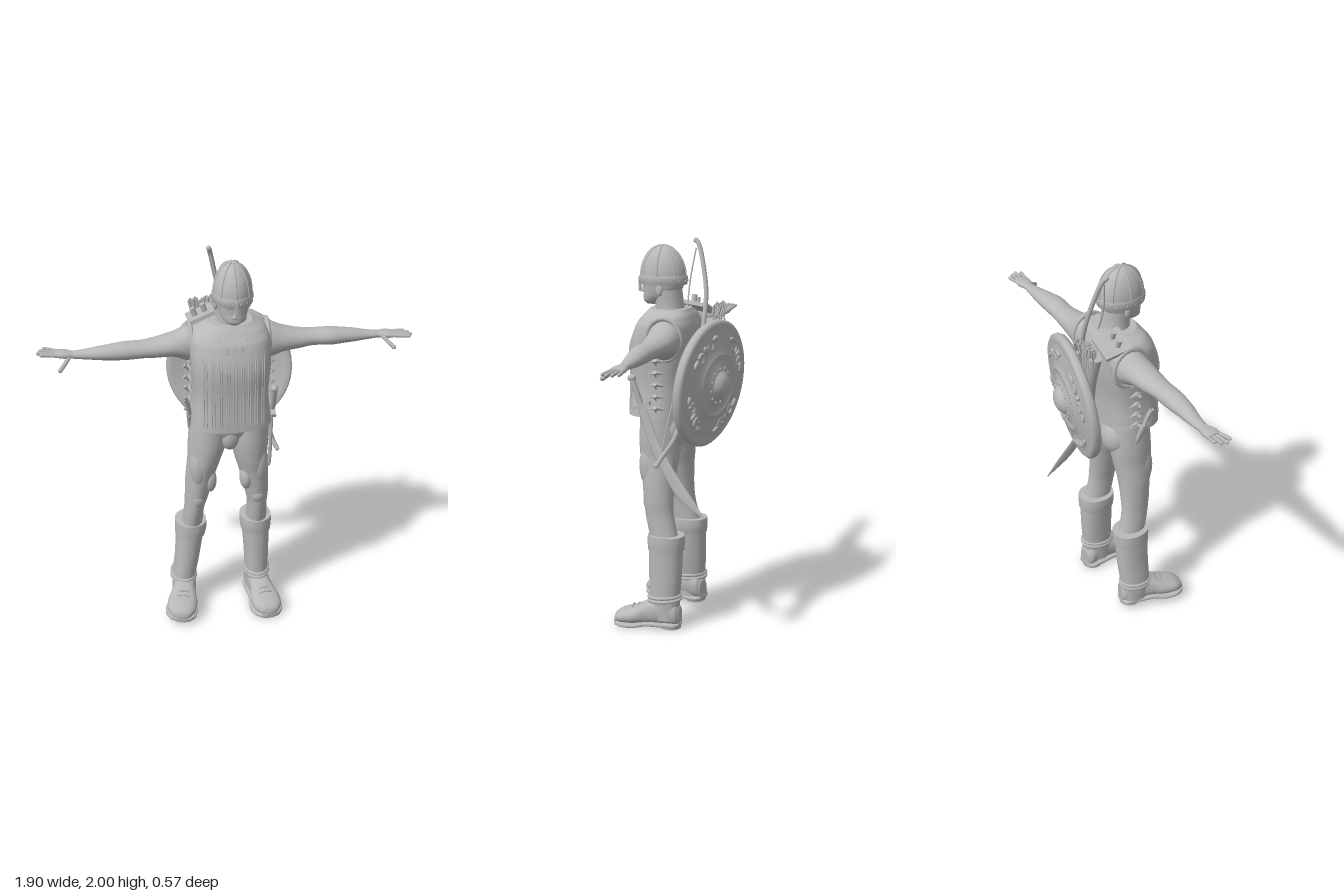
import * as THREE from 'three';

const grey = new THREE.MeshStandardMaterial({ color: 0xb8b8b8 });
grey.name = 'plain grey';

const V = (x, y, z) => new THREE.Vector3(x, y, z);

// Smooth skin over cross-sections [cx, cy, cz, ra, rb] stacked along one axis; n > 2 makes them boxier
function loft(axis, sections, n = 2, steps = 5, sides = 28) {
  const [u, v] = { y: [V(1, 0, 0), V(0, 0, -1)], x: [V(0, 0, -1), V(0, 1, 0)], z: [V(1, 0, 0), V(0, 1, 0)] }[axis];
  const centre = new THREE.CatmullRomCurve3(sections.map(s => V(s[0], s[1], s[2])));
  const size = new THREE.CatmullRomCurve3(sections.map(s => V(s[3], s[4], 0)), false, 'catmullrom', 0.4);
  const d = V(0, 0, 0).crossVectors(u, v);
  const flip = d.dot(centre.getPoint(1).sub(centre.getPoint(0))) < 0;
  const pos = [], idx = [], rows = (sections.length - 1) * steps;
  const tri = (a, b, c) => (flip ? idx.push(a, c, b) : idx.push(a, b, c));
  const pw = t => Math.sign(t) * Math.abs(t) ** (2 / n);
  const ring = t => {
    const c = centre.getPoint(t), r = size.getPoint(t);
    for (let j = 0; j < sides; j++) {
      const a = j / sides * Math.PI * 2;
      const p = c.clone().addScaledVector(u, r.x * pw(Math.cos(a))).addScaledVector(v, r.y * pw(Math.sin(a)));
      pos.push(p.x, p.y, p.z);
    }
    return c;
  };
  for (let i = 0; i <= rows; i++) ring(i / rows);
  for (let i = 0; i < rows; i++) for (let j = 0; j < sides; j++) {
    const a = i * sides + j, b = i * sides + (j + 1) % sides;
    tri(a, b, a + sides);
    tri(b, b + sides, a + sides);
  }
  for (const t of [0, 1]) {
    const base = pos.length / 3, c = ring(t), k = base + sides;
    pos.push(c.x, c.y, c.z);
    for (let j = 0; j < sides; j++) {
      const a = base + j, b = base + (j + 1) % sides;
      t ? tri(k, a, b) : tri(k, b, a);
    }
  }
  const g = new THREE.BufferGeometry();
  g.setAttribute('position', new THREE.Float32BufferAttribute(pos, 3));
  g.setIndex(idx);
  g.computeVertexNormals();
  return g;
}

function add(parent, name, geo, p = [0, 0, 0], r = [0, 0, 0], s = [1, 1, 1]) {
  const m = new THREE.Mesh(geo, grey);
  m.name = name;
  m.position.set(...p); m.rotation.set(...r); m.scale.set(...s);
  parent.add(m);
  return m;
}
const ball = (parent, name, p, s, r) => add(parent, name, new THREE.SphereGeometry(1, 16, 12), p, r, s);
const tube = (parent, name, pts, r, seg = 24) =>
  add(parent, name, new THREE.TubeGeometry(new THREE.CatmullRomCurve3(pts.map(p => V(...p))), seg, r, 8));
function part(parent, name) {
  const g = new THREE.Group();
  g.name = name;
  parent.add(g);
  return g;
}

const VEST = [[0, 1.12, 0.08, 0.205, 0.15], [0, 1.28, 0.075, 0.188, 0.15], [0, 1.45, 0.065, 0.2, 0.165],
  [0, 1.57, 0.045, 0.2, 0.15], [0, 1.62, 0.035, 0.175, 0.125], [0.005, 1.655, 0.03, 0.11, 0.1]];
// Depth of the vest's front at a given x and y
function vestFront(x, y) {
  const i = Math.max(0, VEST.findIndex((s, k) => k < VEST.length - 1 && y <= VEST[k + 1][1]));
  const t = (y - VEST[i][1]) / (VEST[i + 1][1] - VEST[i][1]);
  const [, , z, a, b] = VEST[i].map((q, k) => q + (VEST[i + 1][k] - q) * t);
  return z + b * Math.max(0, 1 - Math.abs(x / a) ** 2.6) ** (1 / 2.6);
}

function buildVest(root) {
  const g = part(root, 'vest');
  add(g, 'vestBody', loft('y', VEST, 2.6, 6, 48));
  for (let i = -4; i <= 4; i++) for (const o of [-0.006, 0.006]) {
    const x = i * 0.036 + o, top = 1.6 - (Math.abs(i) < 2 ? 0.03 : 0);
    tube(g, 'plateSeam', [1.15, 1.25, 1.35, 1.45, 1.53, top].map(y => [x, y, vestFront(x, y) - 0.001]), 0.004);
  }
  for (const s of [-1, 1]) {
    add(g, 'armholeTrim', new THREE.TorusGeometry(0.095, 0.012, 8, 28), [s * 0.192, 1.52, 0], [0, Math.PI / 2, 0], [0.95, 1.1, 1]);
    for (let k = 0; k < 6; k++) {
      const y = 1.17 + k * 0.06;
      for (const e of [-1, 1]) // side ties
        add(g, 'sideTie', new THREE.ConeGeometry(0.014, 0.055, 6), [s * 0.2, y, 0.035 + e * 0.022], [e * 1.75, 0, 0]);
      add(g, 'tieEnd', new THREE.ConeGeometry(0.01, 0.045, 6), [s * 0.212, y - 0.01, 0.035], [0, 0, s * 2.5]);
    }
  }
}

function buildHead(root) {
  const g = part(root, 'head');
  add(g, 'neck', loft('y', [[0, 1.6, 0.025, 0.1, 0.085], [0.008, 1.66, 0.035, 0.076, 0.073], [0.01, 1.75, 0.045, 0.074, 0.072]]));
  add(g, 'face', loft('y', [[0.01, 1.672, 0.125, 0.028, 0.03], [0.01, 1.69, 0.112, 0.052, 0.06], [0.01, 1.72, 0.085, 0.07, 0.086],
    [0.01, 1.76, 0.07, 0.08, 0.102], [0.01, 1.8, 0.07, 0.085, 0.108], [0.01, 1.86, 0.07, 0.08, 0.1]], 2.2));
  add(g, 'nose', new THREE.ConeGeometry(0.016, 0.05, 8), [0.01, 1.752, 0.175], [-0.15, 0, 0]);
  ball(g, 'lips', [0.01, 1.717, 0.166], [0.024, 0.008, 0.008]);
  for (const s of [-1, 1]) {
    ball(g, 'ear', [0.01 + s * 0.083, 1.75, 0.06], [0.01, 0.03, 0.018]);
    ball(g, 'eye', [0.01 + s * 0.032, 1.765, 0.16], [0.013, 0.008, 0.008]);
  }
  const h = part(g, 'helmet');
  h.position.set(0.01, 1.775, 0.07);
  h.scale.x = 0.79;
  const profile = [[0.112, 0], [0.125, 0], [0.127, 0.035], [0.121, 0.042], [0.116, 0.08], [0.099, 0.125], [0.068, 0.165], [0.03, 0.187], [0, 0.193]];
  const bowl = new THREE.SplineCurve(profile.slice(3).map(p => new THREE.Vector2(...p))).getPoints(20);
  add(h, 'helmetBowl', new THREE.LatheGeometry([...profile.slice(0, 3).map(p => new THREE.Vector2(...p)), ...bowl], 36)).geometry.computeVertexNormals();
  for (let k = 0; k < 8; k++) {
    const a = k * Math.PI / 4;
    tube(h, 'helmetRib', profile.slice(3).map(([r, y]) => [r * Math.sin(a), y, r * Math.cos(a)]), 0.005);
  }
  for (let k = 0; k < 16; k++) {
    const a = (k + 0.5) * Math.PI / 8;
    ball(h, 'helmetRivet', [0.126 * Math.sin(a), 0.02, 0.126 * Math.cos(a)], [0.005, 0.005, 0.005]);
  }
  add(h, 'nasalGuard', new THREE.BoxGeometry(0.018, 0.075, 0.01), [0, -0.008, 0.126]);
}

// Arm, palm, fingers and thumb; sections run from shoulder to wrist
function buildArm(root, name, s, sections, rise) {
  const g = part(root, name);
  add(g, 'armSkin', loft('x', sections));
  const [wx, wy, wz] = sections[sections.length - 1];
  add(g, 'palm', loft('x', [[wx - s * 0.01, wy, wz, 0.026, 0.016], [wx + s * 0.035, wy + rise * 0.3, wz, 0.038, 0.018],
    [wx + s * 0.08, wy + rise * 0.5, wz, 0.038, 0.012]], 2.3, 4, 16));
  [0.13, 0.15, 0.16, 0.145].forEach((len, k) => {
    const o = (k - 1.5) * 0.019;
    tube(g, 'finger', [[wx + s * 0.07, wy + rise * 0.5, wz + o], [wx + s * (len - 0.03), wy + rise * 0.8, wz + o * 1.2],
      [wx + s * len, wy + rise, wz + o * 1.3]], 0.009, 8);
    ball(g, 'fingertip', [wx + s * len, wy + rise, wz + o * 1.3], [0.01, 0.009, 0.009]);
  });
  tube(g, 'thumb', [[wx + s * 0.01, wy, wz + 0.02], [wx + s * 0.035, wy - 0.025, wz + 0.05], [wx + s * 0.06, wy - 0.045, wz + 0.075]], 0.011, 8);
  ball(g, 'thumbTip', [wx + s * 0.06, wy - 0.045, wz + 0.075], [0.012, 0.011, 0.012]);
}

// Bare leg, tall boot and foot; xs are the leg's centre x at falling heights
function buildLeg(root, name, s, xs, boot, turn, lift, roll) {
  const g = part(root, name);
  const shape = [[1.15, 0.05, 0.098, 0.105], [1.0, 0.05, 0.1, 0.112], [0.9, 0.053, 0.086, 0.103], [0.8, 0.052, 0.075, 0.088],
    [0.68, 0.048, 0.062, 0.078], [0.6, 0.04, 0.052, 0.075], [0.44, 0.005, 0.056, 0.075]];
  add(g, 'legSkin', loft('y', shape.map(([y, z, a, b], i) => [xs[i], y, z, a, b])));
  ball(g, 'innerThigh', [xs[3] - s * 0.045, 0.78, 0.09], [0.035, 0.07, 0.045]);
  ball(g, 'outerThigh', [xs[2] + s * 0.035, 0.86, 0.085], [0.05, 0.13, 0.065]);
  ball(g, 'kneecap', [xs[4], 0.67, 0.1], [0.035, 0.045, 0.03]);
  const [b0, b1, b2] = boot;
  add(g, 'bootShaft', loft('y', [[b0, 0.49, 0.005, 0.076, 0.09], [b0 * 0.6 + b1 * 0.4, 0.4, 0.006, 0.071, 0.088], [b1, 0.28, 0.008, 0.065, 0.086],
    [b2, 0.14, 0.012, 0.06, 0.08], [b2, 0.05, 0.01, 0.06, 0.078]], 2.2));
  add(g, 'bootCuff', loft('y', [[b0, 0.5, 0.005, 0.082, 0.096], [b0, 0.46, 0.005, 0.083, 0.097], [b0 * 0.8 + b1 * 0.2, 0.42, 0.005, 0.079, 0.094]], 2.2, 3));
  for (const y of [0.15, 0.17])
    add(g, 'ankleFold', new THREE.TorusGeometry(0.062, 0.009, 8, 28), [b2, y, 0.012], [Math.PI / 2 + 0.1, 0, 0], [1, 1.32, 1]);
  const f = part(g, 'foot');
  f.position.set(b2, lift, 0);
  f.rotation.set(0, turn, roll);
  const foot = [[-0.072, 0.035, 0.05], [-0.05, 0.055, 0.065], [0.02, 0.058, 0.075], [0.1, 0.062, 0.062], [0.17, 0.078, 0.045], [0.23, 0.074, 0.036], [0.27, 0.045, 0.024], [0.28, 0.015, 0.012]];
  add(f, 'bootUpper', loft('z', foot.map(([z, w, h]) => [0, 0.014 + h, z, w, h]), 2.3));
  add(f, 'sole', loft('z', foot.map(([z, w], i) => [0, i > 3 ? 0.013 : 0.022, z, w + 0.006, 0.012]), 4));
  add(f, 'heel', new THREE.CylinderGeometry(0.056, 0.054, 0.03, 24), [0, 0.015, -0.02]);
  for (const z of [0.12, 0.15, 0.18])
    tube(f, 'toeStitching', [-1, -0.5, 0, 0.5, 1].map(t => [t * 0.06, 0.03 + (0.135 - z * 0.25) * Math.sqrt(1 - t * t * 0.8) - 0.012, z]), 0.005, 12);
}

function buildShield(root) {
  const g = part(root, 'shield');
  g.position.set(0.035, 1.285, -0.187);
  g.quaternion.setFromUnitVectors(V(0, 1, 0), V(0.19, -0.1, -0.98).normalize());
  const profile = [[0, 0.025], [0.15, 0.02], [0.29, -0.015], [0.315, -0.025], [0.325, -0.01], [0.325, 0.014], [0.31, 0.026], [0.285, 0.022],
    [0.275, 0.026], [0.2, 0.041], [0.17, 0.045], [0.165, 0.055], [0.15, 0.055], [0.145, 0.047], [0.105, 0.052], [0.1, 0.062], [0.08, 0.062],
    [0.072, 0.07], [0.055, 0.09], [0.03, 0.101], [0, 0.105]];
  add(g, 'shieldDisc', new THREE.LatheGeometry(profile.map(p => new THREE.Vector2(...p)), 56));
  for (let k = 0; k < 12; k++) {
    const a = k * Math.PI / 6;
    ball(g, 'bossRivet', [0.09 * Math.cos(a), 0.063, 0.09 * Math.sin(a)], [0.007, 0.006, 0.007]);
  }
  for (let k = 0; k < 4; k++) { // raised scrollwork
    const o = part(g, 'scroll');
    o.rotation.y = k * Math.PI / 2 + 0.4;
    for (const e of [-1, 1]) {
      add(o, 'scrollCurl', new THREE.TorusGeometry(0.024, 0.008, 6, 16, 4.7), [0.225, 0.036, e * 0.05], [Math.PI / 2, 0, e * 0.8]);
      ball(o, 'scrollLeaf', [0.228, 0.036, e * 0.1], [0.014, 0.01, 0.026], [0, -e * 0.4, 0]);
    }
    ball(o, 'scrollBud', [0.235, 0.035, 0], [0.024, 0.011, 0.013]);
  }
  tube(g, 'shieldGrip', [[-0.09, 0.015, 0], [-0.05, -0.03, 0], [0.05, -0.03, 0], [0.09, 0.015, 0]], 0.01);
}

function buildWeapons(root) {
  const sabre = part(root, 'sabre');
  add(sabre, 'sabreBlade', loft('y', [[0.205, 1.18, 0.115, 0.007, 0.024], [0.215, 1.0, 0.045, 0.007, 0.03], [0.23, 0.85, -0.045, 0.006, 0.036],
    [0.242, 0.73, -0.135, 0.005, 0.04], [0.25, 0.64, -0.232, 0.002, 0.006]], 2, 6, 12));
  tube(sabre, 'sabreHandle', [[0.205, 1.18, 0.115], [0.207, 1.25, 0.14], [0.207, 1.32, 0.165]], 0.016);
  ball(sabre, 'sabrePommel', [0.207, 1.32, 0.165], [0.018, 0.018, 0.022]);
  add(sabre, 'sabreGuard', new THREE.BoxGeometry(0.025, 0.018, 0.1), [0.206, 1.18, 0.115], [0.35, 0, 0]);
  const dagger = part(root, 'dagger');
  tube(dagger, 'daggerHandle', [[-0.225, 1.25, 0.11], [-0.215, 1.2, 0.09], [-0.21, 1.15, 0.075]], 0.012);
  add(dagger, 'daggerSheath', loft('y', [[-0.212, 1.16, 0.078, 0.012, 0.02], [-0.205, 1.08, 0.045, 0.01, 0.018], [-0.2, 1.02, 0.02, 0.003, 0.005]], 2, 4, 12));
  const bow = part(root, 'bow');
  tube(bow, 'bowLimbs', [[-0.085, 1.99, -0.07], [-0.078, 1.97, -0.088], [-0.055, 1.87, -0.12], [-0.02, 1.72, -0.148], [0.06, 1.45, -0.14], [0.15, 1.2, -0.11],
    [0.21, 1.02, -0.06], [0.24, 0.92, 0], [0.255, 0.89, 0.016]], 0.012, 60);
  for (const p of [[-0.085, 1.987, -0.07], [0.255, 0.89, 0.016]]) ball(bow, 'bowTip', p, [0.012, 0.013, 0.014]);
  tube(bow, 'bowString', [[-0.075, 1.95, -0.075], [-0.04, 1.8, -0.057], [0.08, 1.45, -0.06], [0.24, 0.93, 0]], 0.004);
  const quiver = part(root, 'quiver');
  add(quiver, 'quiverTube', loft('y', [[-0.09, 1.59, -0.155, 0.07, 0.038], [-0.03, 1.4, -0.145, 0.06, 0.035], [0.04, 1.17, -0.11, 0.05, 0.032]]));
  for (let k = 0; k < 7; k++) { // arrows with three feathers each
    const arrow = part(quiver, 'arrow');
    arrow.position.set(-0.15 + k * 0.02, 1.61, -0.185 - (k % 2) * 0.022);
    arrow.rotation.set(-0.08, k, 0.2);
    add(arrow, 'arrowShaft', new THREE.CylinderGeometry(0.005, 0.005, 0.14, 6));
    for (let f = 0; f < 3; f++)
      add(arrow, 'arrowFeather', new THREE.BoxGeometry(0.03, 0.05, 0.003), [0, 0.035, 0], [0, f * Math.PI / 3, 0]);
  }
  const strap = part(root, 'shoulderStrap');
  add(strap, 'strapPlate', new THREE.BoxGeometry(0.14, 0.02, 0.15), [-0.13, 1.645, -0.065], [-0.12, 0, 0.38]);
  for (const [x, y] of [[-0.165, 1.665], [-0.115, 1.685]])
    add(strap, 'strapBuckle', new THREE.CylinderGeometry(0.014, 0.014, 0.045, 12), [x, y, -0.05], [0, 0, 0.35]);
}

export function createModel() {
  const root = new THREE.Group();
  root.name = 'warrior';
  buildVest(root);
  buildHead(root);
  buildArm(root, 'leftArm', 1, [[0.13, 1.53, 0, 0.08, 0.085], [0.2, 1.515, -0.008, 0.085, 0.095], [0.28, 1.51, -0.01, 0.077, 0.066], [0.36, 1.505, -0.012, 0.066, 0.05],
    [0.43, 1.505, -0.015, 0.058, 0.042], [0.52, 1.503, -0.013, 0.058, 0.044], [0.62, 1.497, -0.02, 0.047, 0.036], [0.72, 1.49, -0.024, 0.032, 0.023], [0.78, 1.488, -0.026, 0.026, 0.016]], -0.008);
  buildArm(root, 'rightArm', -1, [[-0.13, 1.53, 0, 0.08, 0.085], [-0.2, 1.525, 0, 0.085, 0.09], [-0.28, 1.528, 0.012, 0.077, 0.06], [-0.36, 1.522, 0.02, 0.066, 0.05],
    [-0.43, 1.52, 0.028, 0.056, 0.044], [-0.52, 1.52, 0.032, 0.054, 0.045], [-0.62, 1.517, 0.033, 0.045, 0.036], [-0.72, 1.514, 0.028, 0.031, 0.024], [-0.78, 1.515, 0.027, 0.026, 0.017]], 0.025);
  add(root, 'pelvis', loft('y', [[0, 1.16, 0.055, 0.185, 0.115], [-0.005, 1.08, 0.045, 0.18, 0.115], [-0.008, 1.02, 0.045, 0.11, 0.09], [-0.01, 0.985, 0.05, 0.04, 0.05]]));
  ball(root, 'loincloth', [-0.01, 1.04, 0.115], [0.05, 0.075, 0.045]);
  for (const s of [-1, 1]) ball(root, 'buttock', [s * 0.085, 1.05, -0.015], [0.09, 0.1, 0.075]);
  buildLeg(root, 'leftLeg', 1, [0.1, 0.1, 0.108, 0.125, 0.141, 0.146, 0.147], [0.145, 0.15, 0.152], 0.12, 0, 0);
  buildLeg(root, 'rightLeg', -1, [-0.105, -0.115, -0.133, -0.155, -0.173, -0.186, -0.2], [-0.202, -0.224, -0.245], -0.2, 0.025, -0.13);
  buildShield(root);
  buildWeapons(root);
  // The shield and other open shells are seen from both sides
  root.traverse(o => { if (o.name === 'helmetBowl' || o.name === 'shieldDisc') o.material.side = THREE.DoubleSide; });
  return root;
}
